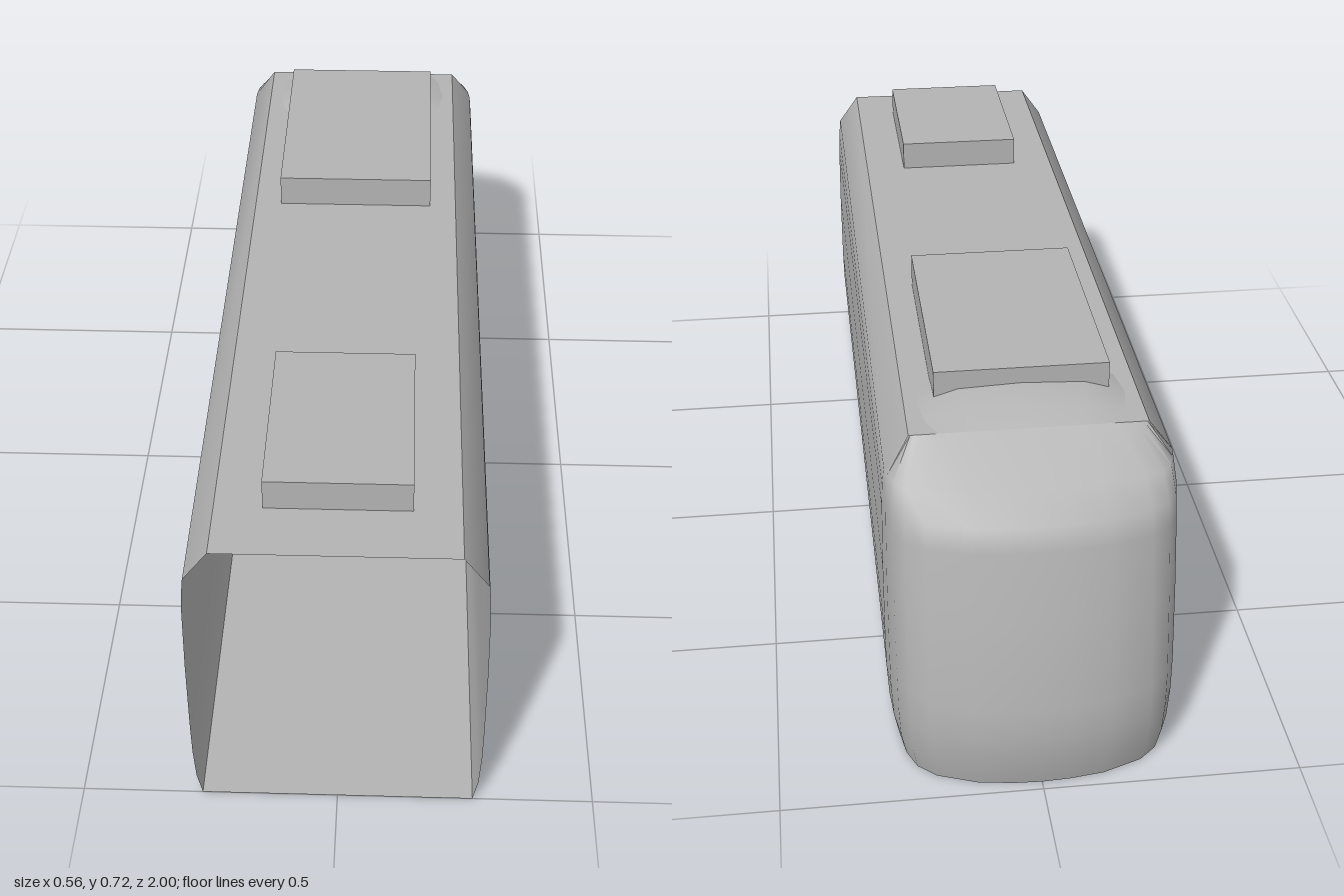
import * as THREE from 'three';
import { toCreasedNormals } from 'three/addons/utils/BufferGeometryUtils.js';

const grey = new THREE.MeshStandardMaterial({ color: 0xb4b4b4, side: THREE.DoubleSide });
grey.name = 'bodyGrey';

// Skins a list of equally long point rows; flip reverses the winding
function loft(rows, crease, flip = false) {
  const n = rows[0].length, index = [];
  for (let r = 0; r < rows.length - 1; r++) {
    for (let i = 0; i < n - 1; i++) {
      const a = r * n + i, b = a + 1, c = a + n, d = c + 1;
      index.push(...(flip ? [a, c, b, b, c, d] : [a, b, c, b, d, c]));
    }
  }
  const g = new THREE.BufferGeometry();
  g.setAttribute('position', new THREE.Float32BufferAttribute(rows.flat(2), 3));
  g.setIndex(index);
  return toCreasedNormals(g, crease);
}

const NOSE_Z = -0.745;
// Half cross-section: half width, height, nose depth beyond the straight body
const levels = [
  [0.265, 0, 0.235], [0.275, 0.05, 0.248], [0.279, 0.12, 0.255], [0.28, 0.19, 0.251],
  [0.28, 0.36, 0.215], [0.278, 0.5, 0.185], [0.276, 0.545, 0.172], [0.272, 0.585, 0.108], [0.225, 0.65, 0],
];
// Plan curve of the nose: fraction of half width, fraction of depth
const plan = [[1, 0], [0.985, 0.27], [0.95, 0.52], [0.88, 0.7], [0.75, 0.83], [0.46, 0.95], [0.2, 0.99], [0, 1]];

export function createModel() {
  const model = new THREE.Group();
  model.name = 'railCar';
  const add = (name, geometry) => {
    const mesh = new THREE.Mesh(geometry, grey);
    mesh.name = name;
    model.add(mesh);
    return mesh;
  };

  // Straight body tube, open at the +z end
  const right = levels.map(([w, y]) => [w, y]);
  const left = right.map(([w, y]) => [-w, y]).reverse();
  const loop = [...right, ...left, right[0]];
  add('bodyShell', loft([1, NOSE_Z].map((z) => loop.map(([x, y]) => [x, y, z])), 0.65, true));

  // Rounded, raked nose with a flat underside
  const full = [...plan, ...plan.slice(0, -1).reverse().map(([s, t]) => [-s, t])];
  const noseRows = levels.map(([w, y, d]) => full.map(([s, t]) => [s * w, y, NOSE_Z - t * d]));
  noseRows.unshift(full.map(() => [0, 0, NOSE_Z]));
  add('nose', loft(noseRows, 0.9));

  // Low fairing ahead of the front roof unit
  const fairing = [[-0.745, 0.17, 0], [-0.7, 0.19, 0.018], [-0.63, 0.2, 0.035], [-0.57, 0.19, 0.03], [-0.5, 0.16, 0]];
  const arch = [[-1, 0], [-0.85, 0.4], [-0.6, 0.85], [0, 1], [0.6, 0.85], [0.85, 0.4], [1, 0]];
  add('roofFairing', loft(fairing.map(([z, w, h]) => arch.map(([s, t]) => [s * w, 0.65 + t * h, z])), 0.9, true));

  // Roof units: half width, top, back z, front z
  for (const [name, w, top, z0, z1] of [
    ['frontRoofUnit', 0.168, 0.717, -0.635, -0.13],
    ['rearRoofUnit', 0.136, 0.713, 0.5, 0.88],
  ]) {
    const unit = add(name, new THREE.BoxGeometry(w * 2, top - 0.648, z1 - z0));
    unit.position.set(0, (top + 0.648) / 2, (z0 + z1) / 2);
  }
  return model;
}
